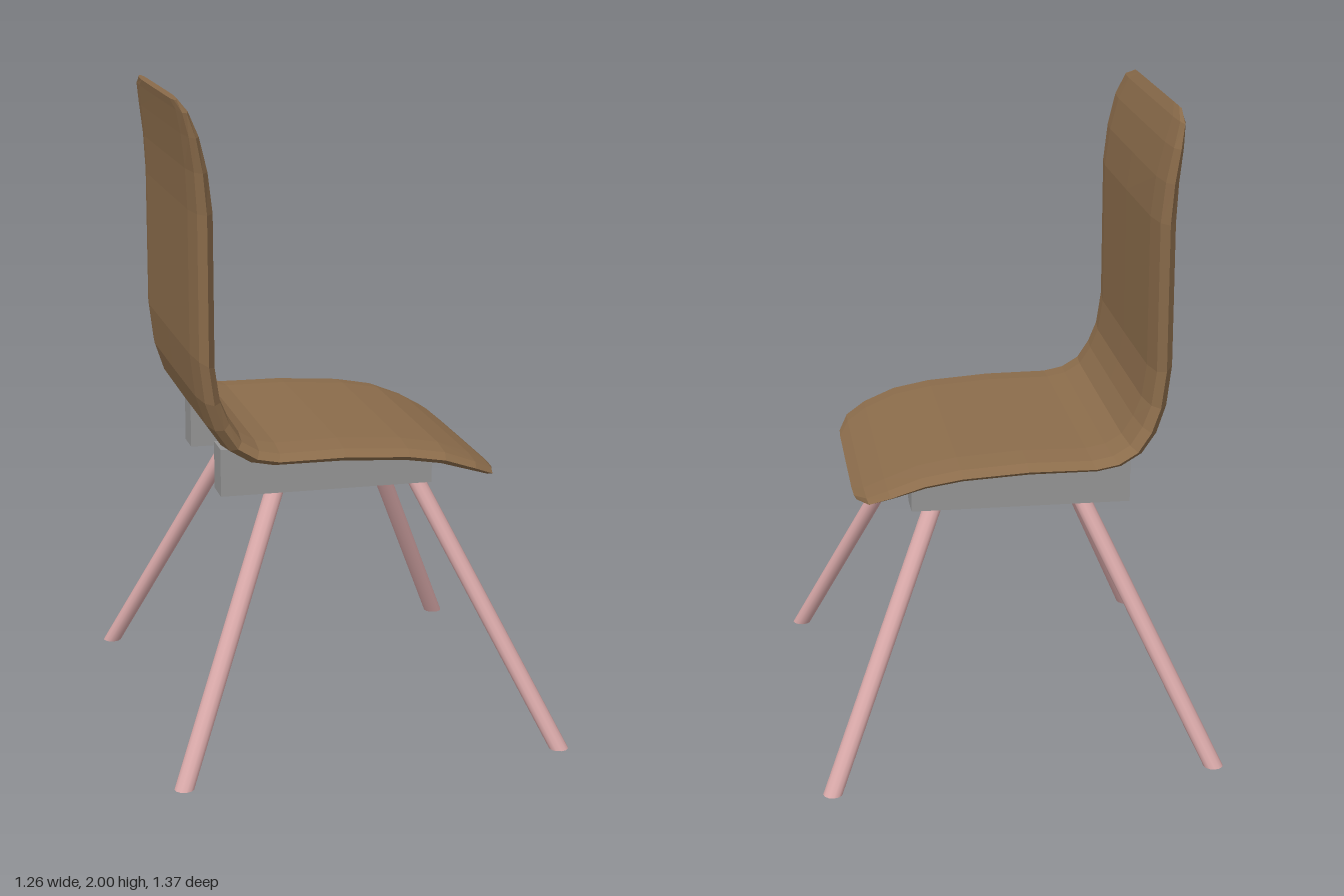
import * as THREE from 'three';

const wood = new THREE.MeshStandardMaterial({ color: 0x8b6c4b });
wood.name = 'brown shell';
const pink = new THREE.MeshStandardMaterial({ color: 0xd9a9a9 });
pink.name = 'pink legs';
const grey = new THREE.MeshStandardMaterial({ color: 0x959595 });
grey.name = 'grey rails';

// Stations from the top of the back to the front lip:
// outer x, y, inner x, y, half width
const stations = [
  [-0.517, 1.99, -0.507, 2.0, 0.34],
  [-0.513, 1.965, -0.488, 1.97, 0.44],
  [-0.505, 1.9, -0.46, 1.9, 0.478],
  [-0.495, 1.8, -0.435, 1.8, 0.485],
  [-0.49, 1.68, -0.42, 1.68, 0.487],
  [-0.49, 1.25, -0.42, 1.22, 0.487],
  [-0.475, 1.12, -0.405, 1.12, 0.488],
  [-0.445, 1.03, -0.38, 1.06, 0.491],
  [-0.4, 0.965, -0.345, 1.005, 0.492],
  [-0.335, 0.925, -0.295, 0.975, 0.492],
  [-0.26, 0.91, -0.235, 0.963, 0.49],
  [-0.05, 0.907, -0.04, 0.964, 0.483],
  [0.15, 0.895, 0.16, 0.95, 0.48],
  [0.26, 0.877, 0.28, 0.928, 0.476],
  [0.36, 0.847, 0.38, 0.887, 0.465],
  [0.425, 0.823, 0.442, 0.852, 0.43],
  [0.455, 0.812, 0.473, 0.826, 0.33],
];

// Half of the rounded cross-section: fraction of width, fraction of thickness
const half = [[0, 1], [0.74, 0.97], [0.93, 0.65], [1, 0], [0.93, -0.65], [0.74, -0.97], [0, -1]];
const section = [...half, ...half.slice(1, -1).reverse().map(([z, n]) => [-z, n])];

function shellGeometry() {
  const pos = [], index = [], m = section.length, last = (stations.length - 1) * m;
  for (const [ox, oy, ix, iy, w] of stations) {
    for (const [z, n] of section) {
      const t = (1 + n) / 2;
      pos.push(ox + (ix - ox) * t, oy + (iy - oy) * t, z * w + 0.004);
    }
  }
  for (let i = 0; i < stations.length - 1; i++) {
    for (let j = 0; j < m; j++) {
      const a = i * m + j, b = i * m + (j + 1) % m;
      index.push(a, b, b + m, a, b + m, a + m);
    }
  }
  // end caps
  for (let j = 1; j < m - 1; j++) {
    index.push(0, j + 1, j, last, last + j, last + j + 1);
  }
  const g = new THREE.BufferGeometry();
  g.setAttribute('position', new THREE.Float32BufferAttribute(pos, 3));
  g.setIndex(index);
  const flat = g.toNonIndexed();
  flat.computeVertexNormals();
  return flat;
}

// Rail whose top slopes down towards the front lip
function rail(name, back, front, bottom, z) {
  const s = new THREE.Shape();
  s.moveTo(back, bottom);
  s.lineTo(front, bottom);
  s.lineTo(front, 0.9);
  s.lineTo(back, 0.95);
  s.closePath();
  const g = new THREE.ExtrudeGeometry(s, { depth: 0.1, bevelEnabled: false });
  g.translate(0, 0, z - 0.05);
  const mesh = new THREE.Mesh(g, grey);
  mesh.name = name;
  return mesh;
}

// Splayed leg: a sheared cylinder, so that both ends stay level
function leg(name, foot, top) {
  const h = 0.83;
  const g = new THREE.CylinderGeometry(0.03, 0.03, h, 12);
  g.translate(0, h / 2, 0);
  const shear = new THREE.Matrix4().set(
    1, (top[0] - foot[0]) / h, 0, foot[0],
    0, 1, 0, 0,
    0, (top[1] - foot[1]) / h, 1, foot[1],
    0, 0, 0, 1
  );
  g.applyMatrix4(shear);
  const mesh = new THREE.Mesh(g, pink);
  mesh.name = name;
  return mesh;
}

export function createModel() {
  const chair = new THREE.Group();
  chair.name = 'chair';

  const shell = new THREE.Mesh(shellGeometry(), wood);
  shell.name = 'seatShell';
  chair.add(shell);

  chair.add(rail('nearRail', -0.4, 0.26, 0.803, 0.315));
  chair.add(rail('farRail', -0.375, 0.3, 0.785, -0.315));

  // Leg feet are turned very slightly about the vertical axis
  const turn = 0.018;
  for (const sx of [-1, 1]) {
    for (const sz of [-1, 1]) {
      const x = sx * 0.588, z = sz * 0.642;
      const foot = [x + z * turn, z - x * turn];
      const name = (sx > 0 ? 'front' : 'back') + (sz > 0 ? 'Near' : 'Far') + 'Leg';
      chair.add(leg(name, foot, [sx * 0.21, sz * 0.3]));
    }
  }
  return chair;
}
